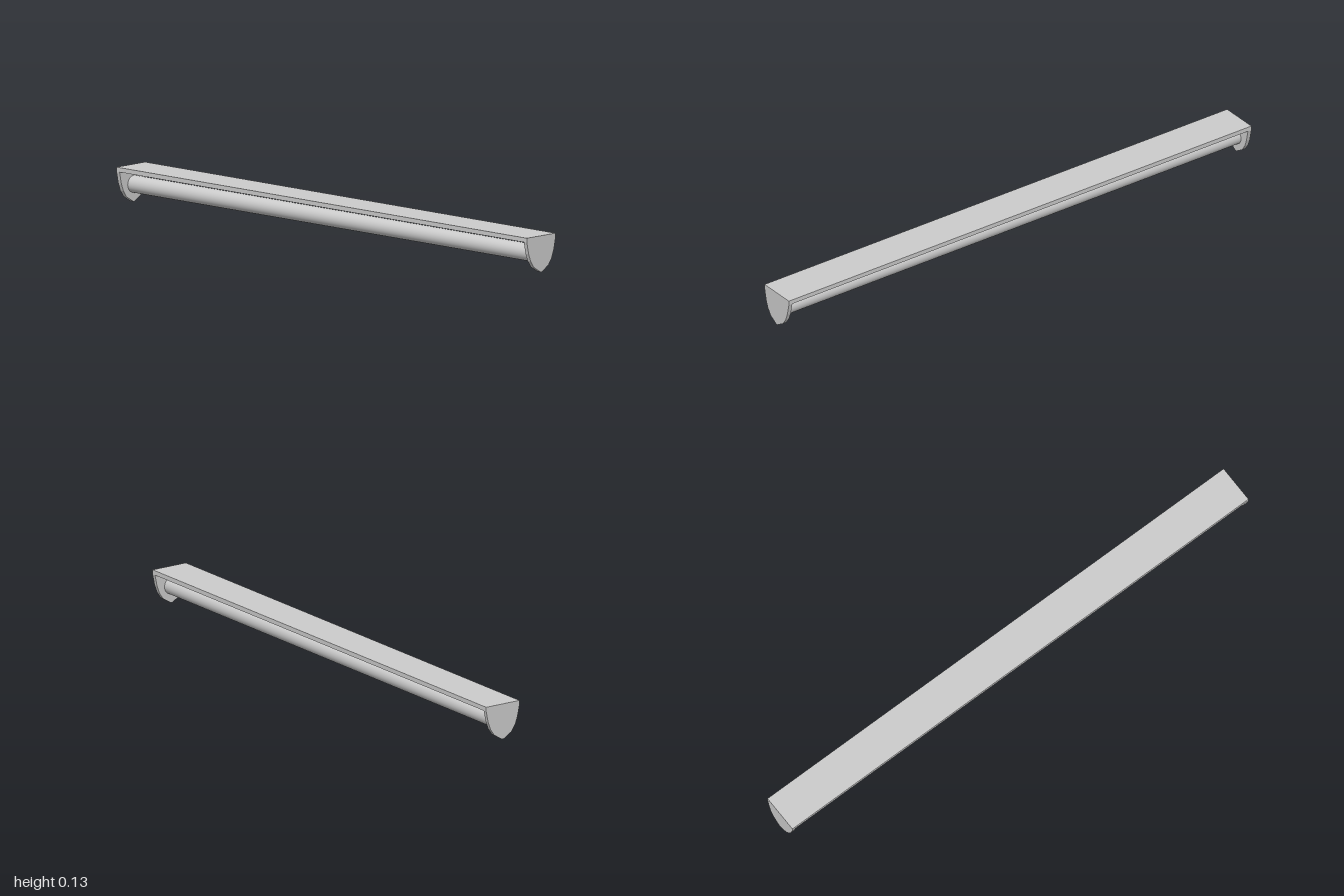
import * as THREE from 'three';

const HEIGHT = 0.128, LENGTH = 2, CAP = 0.015;

export function createModel() {
  const group = new THREE.Group();
  const material = new THREE.MeshStandardMaterial({ color: 0xcccccc });
  const add = (geometry, name, x, y, z) => {
    const mesh = new THREE.Mesh(geometry, material);
    mesh.name = name;
    mesh.position.set(x, y, z);
    group.add(mesh);
    return mesh;
  };

  // Flat mounting plate along the top, fitted between the end caps
  const inner = LENGTH - 2 * CAP;
  add(new THREE.BoxGeometry(0.142, 0.016, inner), 'topPlate', 0, HEIGHT - 0.008, 0);

  // Shield-shaped end caps, from half a profile mirrored about x = 0
  const half = [[0.003, 0], [0.036, 0.02], [0.052, 0.043], [0.062, 0.07], [0.071, 0.112], [0.071, HEIGHT]];
  const mirrored = half.map(([x, y]) => [-x, y]).reverse();
  const outline = [...half, ...mirrored].map(([x, y]) => new THREE.Vector2(x, y));
  const capGeometry = new THREE.ExtrudeGeometry(new THREE.Shape(outline), { depth: CAP, bevelEnabled: false });
  add(capGeometry, 'frontEndCap', 0, 0, LENGTH / 2 - CAP);
  add(capGeometry, 'backEndCap', 0, 0, -LENGTH / 2);

  // Round lamp tube held between the caps
  const tube = add(new THREE.CylinderGeometry(0.0305, 0.0305, inner, 32), 'lampTube', 0, 0.062, 0);
  tube.rotation.x = Math.PI / 2;

  return group;
}
